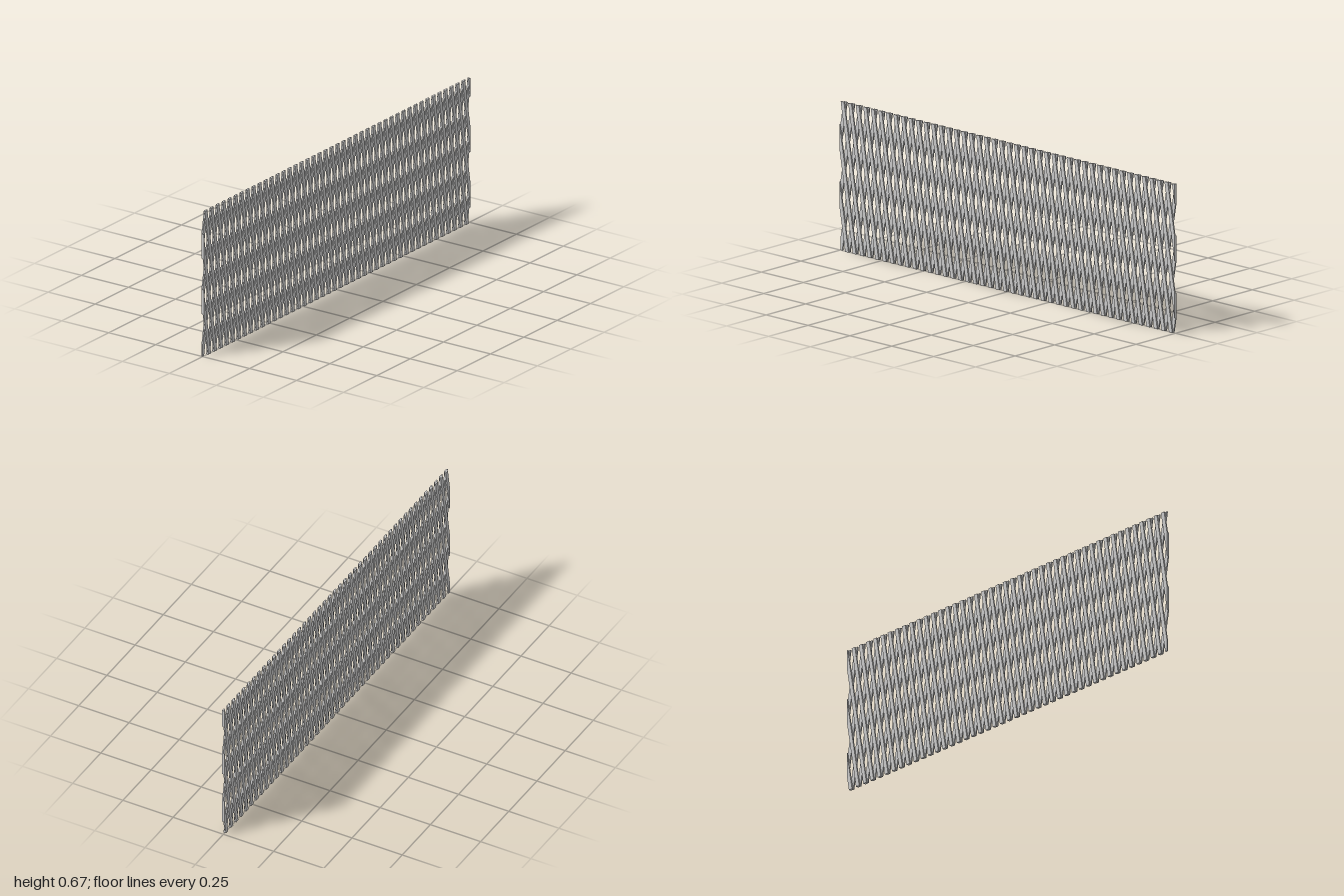
import * as THREE from 'three';

const HEIGHT = 0.672;          // panel height
const HALF = 1;                // half length along z
const THICK = 0.0065;          // thickness of one slat layer
const PITCH = 2 * HALF / 44.5; // spacing of parallel slats
const SLOPE = PITCH / 0.258;   // sideways lean per unit of height
const WIDTH = 0.437 * PITCH;   // horizontal width of a slat
const CROSS_Y = 0.512;         // height where slats cross at the front end

// Keep the part of a polygon where sign * x <= HALF
function clip(points, sign) {
  const out = [];
  points.forEach((a, i) => {
    const b = points[(i + 1) % points.length];
    const da = HALF - sign * a.x;
    const db = HALF - sign * b.x;
    if (da >= 0) out.push(a);
    if (da * db < 0) out.push(a.clone().lerp(b, da / (da - db)));
  });
  return out;
}

// Slanted slat outline (z, y), trimmed square at the panel ends
function slatOutline(k, lean) {
  const zAt = (y) => HALF + lean * SLOPE * (y - CROSS_Y) - k * PITCH;
  const w = WIDTH / 2;
  const z0 = zAt(0);
  const z1 = zAt(HEIGHT);
  const corners = [[z0 - w, 0], [z0 + w, 0], [z1 + w, HEIGHT], [z1 - w, HEIGHT]]
    .map(([z, y]) => new THREE.Vector2(z, y));
  return clip(clip(corners, 1), -1);
}

// One layer of parallel slats; lean 1 tips forward, -1 tips back
function slatLayer(name, lean, first, last, x, material) {
  const layer = new THREE.Group();
  layer.name = name;
  for (let k = first; k <= last; k++) {
    const shape = new THREE.Shape(slatOutline(k, lean));
    const geometry = new THREE.ExtrudeGeometry(shape, { depth: THICK, bevelEnabled: false });
    geometry.rotateY(-Math.PI / 2);
    const slat = new THREE.Mesh(geometry, material);
    slat.name = 'slat';
    slat.position.x = x;
    layer.add(slat);
  }
  return layer;
}

export function createModel() {
  const model = new THREE.Group();
  model.name = 'latticePanel';
  const material = new THREE.MeshStandardMaterial({ color: 0xcccccc });

  // Two layers leaning opposite ways, touching at x = 0
  model.add(
    slatLayer('leftSlats', 1, -1, 45, THICK, material),
    slatLayer('rightSlats', -1, 0, 46, 0, material),
  );
  return model;
}
